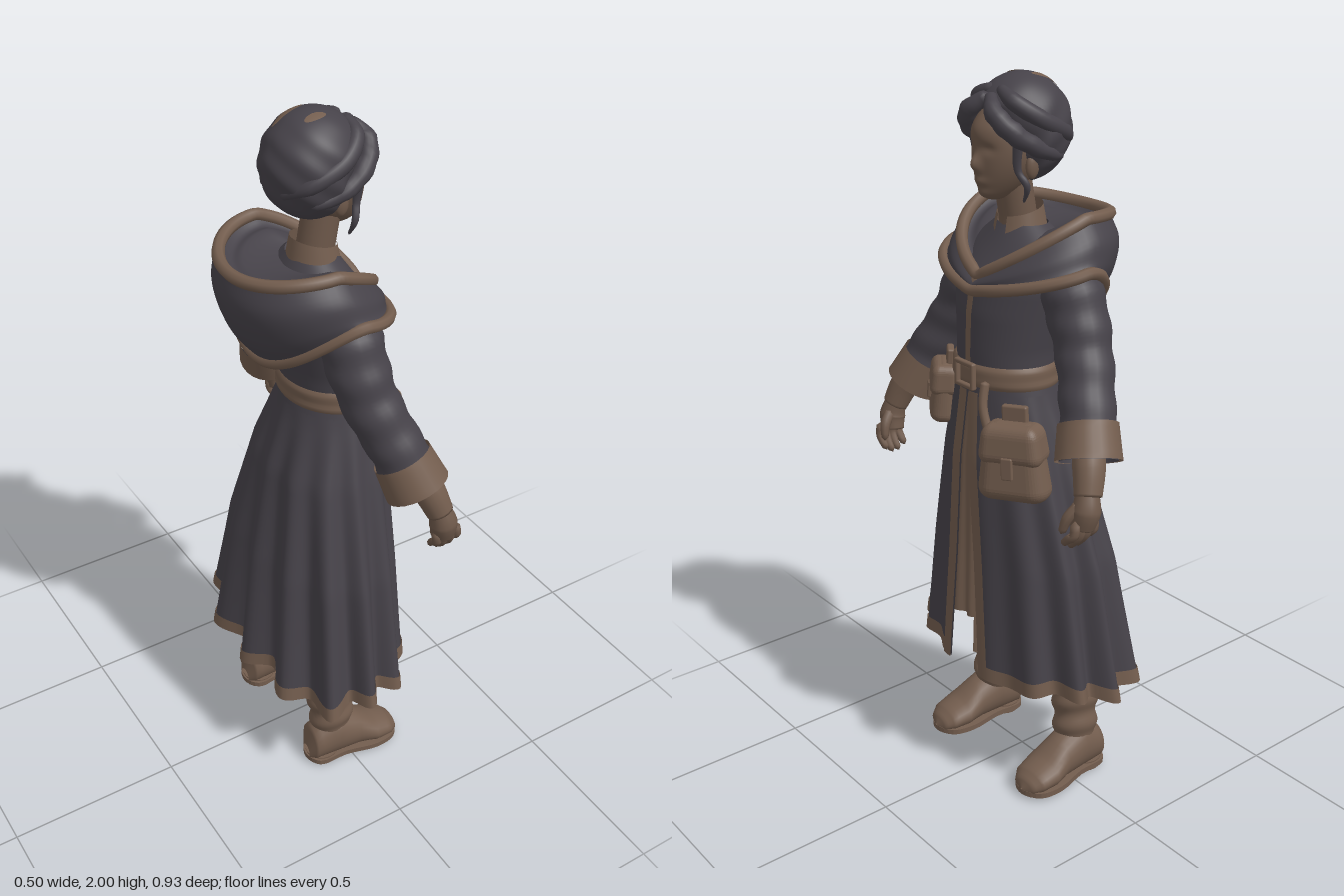
import * as THREE from 'three';
import { mergeVertices } from 'three/addons/utils/BufferGeometryUtils.js';
import { RoundedBoxGeometry } from 'three/addons/geometries/RoundedBoxGeometry.js';

const { sin, cos, PI, abs, exp, max, min, floor, asin, sqrt } = Math;
const V = (x, y, z) => new THREE.Vector3(x, y, z);
const mat = (name, color) => {
  const m = new THREE.MeshStandardMaterial({ color, side: THREE.DoubleSide });
  m.name = name;
  return m;
};

// smooth sheet from a rule (u, v in 0..1) -> point
function surf(fn, nu, nv) {
  const pos = [], idx = [];
  for (let j = 0; j <= nv; j++) for (let i = 0; i <= nu; i++) pos.push(...fn(i / nu, j / nv));
  for (let j = 0; j < nv; j++) for (let i = 0; i < nu; i++) {
    const a = j * (nu + 1) + i, b = a + nu + 1;
    idx.push(a, a + 1, b, a + 1, b + 1, b);
  }
  let g = new THREE.BufferGeometry();
  g.setAttribute('position', new THREE.Float32BufferAttribute(pos, 3));
  g.setIndex(idx);
  g = mergeVertices(g, 1e-5);
  g.computeVertexNormals();
  return g;
}

// linear lookup in a list, t in 0..1
function lerpList(list, t) {
  const f = min(max(t, 0), 1) * (list.length - 1), i = min(floor(f), list.length - 2);
  return list[i] + (list[i + 1] - list[i]) * (f - i);
}

// round limb along a curve with changing radius, over the part t0..t1
function limb(points, radii, { n = 16, rows = 24, t0 = 0, t1 = 1, caps = true, wrinkle = 0, grow = 0 } = {}) {
  const curve = new THREE.CatmullRomCurve3(points.map(p => V(...p)));
  const fr = curve.computeFrenetFrames(100);
  return surf((u, v) => {
    const t = t0 + (t1 - t0) * v, k = Math.round(t * 100), a = u * 2 * PI;
    const end = caps && (v === 0 || v === 1);
    const r = end ? 0 : (lerpList(radii, t) + grow) * (1 + wrinkle * sin(t * 38 + 1.6 * sin(a)));
    return curve.getPoint(t).addScaledVector(fr.normals[k], r * cos(a)).addScaledVector(fr.binormals[k], r * sin(a)).toArray();
  }, n, rows);
}

// move sphere vertices by a rule
function sculpt(rule, w = 48, h = 36) {
  return surf((u, v) => rule(sin(v * PI) * cos(u * 2 * PI), cos(v * PI), sin(v * PI) * sin(u * 2 * PI)), w, h);
}

// robe sections: height, centre x, radius x, radius z
const ROBE = [[1.62, 0, 0.06, 0.08], [1.56, 0, 0.1, 0.165], [1.48, 0.03, 0.13, 0.178], [1.4, 0.035, 0.138, 0.165],
  [1.3, 0.05, 0.127, 0.148], [1.23, 0.055, 0.122, 0.146], [1.17, 0.05, 0.132, 0.163], [1, 0.03, 0.168, 0.215],
  [0.7, 0.01, 0.19, 0.295], [0.3, 0, 0.21, 0.362]];
function robeAt(y) {
  let i = 0;
  while (i < ROBE.length - 2 && y < ROBE[i + 1][0]) i++;
  const A = ROBE[i], B = ROBE[i + 1], t = (A[0] - y) / (A[0] - B[0]);
  return A.map((a, k) => a + (B[k] - a) * t);
}
// folds deepen towards the hem and the back, where the section is squarer
function robePoint(a, y, off = 0) {
  const [, cx, rx, rz] = robeAt(y), k = max(0, (1.19 - y) / 0.85), c = cos(a), s = sin(a);
  const d = off + k * 0.031 * cos(13 * (a - PI)) * (0.2 + 0.8 * min(1, (1 - c) * 1.2));
  const q = c < 0 ? 1 + 0.1 * k * sin(2 * a) ** 2 : 1;
  return [cx + rx * c * q + d * c, y, rz * s * q + d * s];
}
const hemY = a => 0.335 + 0.02 * cos(a) + 0.008 * sin(5 * a);
const slit = y => asin(min(0.9, (0.004 + 0.062 * max(0, (1.18 - y) / 0.84)) / robeAt(y)[3]));
const trimW = y => 0.034 / robeAt(y)[3];

// hood: rings given by cosine and sine of the angle (front = +1); vee drops to a point at the front
const vee = (low, high, c, s) => (c > 0 ? low + (high - low) * (0.6 * abs(s) + 0.4 * (1 - c)) : high);
const back = (drop, c) => (c < 0 ? drop * c * c : 0);
const HOOD = {
  neck: (c, s) => [0.005 + 0.08 * c, vee(1.53, 1.6, c, s), 0.08 * s],
  fold: (c, s) => [-0.035 + 0.14 * c, vee(1.51, 1.63, c, s) - back(0.02, c), 0.145 * s],
  crease: (c, s) => [-0.04 + 0.162 * c, vee(1.5, 1.625, c, s) - back(0.02, c), 0.172 * s],
  rim: (c, s) => [-0.045 + 0.19 * c, vee(1.495, 1.65, c, s) - back(0.025, c), 0.2 * s],
  bulge: (c, s) => [-0.04 + 0.21 * c, vee(1.475, 1.595, c, s) - back(0.045, c), 0.24 * s],
  low: (c, s) => [-0.025 + 0.194 * c, vee(1.465, 1.55, c, s) - back(0.11, c), 0.252 * s],
  edge: (c, s) => [0.168 * c, vee(1.46, 1.53, c, s) - back(0.16, c), 0.262 * s],
};
function hoodSheet(names, a0, a1) {
  return surf((u, v) => {
    const a = a0 + (a1 - a0) * u;
    return new THREE.CatmullRomCurve3(names.map(n => V(...HOOD[n](cos(a), sin(a))))).getPoint(v).toArray();
  }, 64, 5 * (names.length - 1));
}
function hoodTrim(name, r) {
  const pts = Array.from({ length: 40 }, (_, i) => V(...HOOD[name](cos(i * PI / 20), sin(i * PI / 20))));
  return new THREE.TubeGeometry(new THREE.CatmullRomCurve3(pts, true), 120, r, 8, true);
}

// hair cap, tucked in behind the hairline
function hairPoint(px, py, pz, off = 0) {
  const wave = 1 + off + 0.018 * sin(11 * py + 7 * px + 3 * abs(pz));
  const tuck = px > 0 && py < 0.5 ? 1 - 0.42 * min(1, (0.5 - py) * 1.6) : 1;
  return [0.002 + 0.132 * px * wave * tuck, 1.86 + 0.138 * py * (1 + off), 0.126 * pz * wave];
}

export function createModel() {
  const root = new THREE.Group();
  const coat = mat('darkCloth', 0x464249), brown = mat('brown', 0x735d4e), skin = mat('skin', 0x6d584a);
  const add = (name, geo, m, parent = root) => {
    const o = new THREE.Mesh(geo, m);
    o.name = name;
    parent.add(o);
    return o;
  };
  const group = (name, parent = root) => {
    const g = new THREE.Group();
    g.name = name;
    parent.add(g);
    return g;
  };

  // robe top and split skirt with its borders
  add('bodice', surf((u, v) => robePoint(u * 2 * PI, 1.62 - 0.44 * v), 48, 26), coat);
  const skirtPart = (off, yTop) => surf((u, v) => {
    const g = u * 2 * PI, y = yTop(g) + (hemY(g) - yTop(g)) * v, a = slit(y);
    return robePoint(a + (2 * PI - 2 * a) * u, y, off);
  }, 160, 36);
  add('skirt', skirtPart(0, () => 1.19), coat);
  add('hemTrim', skirtPart(0.004, a => hemY(a) + 0.042), brown);
  for (const s of [1, -1]) add('frontTrim', surf((u, v) => {
    const y = 1.19 - (1.19 - hemY(0)) * v;
    return robePoint(s * (slit(y) + trimW(y) * (s > 0 ? u : 1 - u)), y, 0.005);
  }, 4, 40), brown);
  add('underskirt', surf((u, v) => {
    const a = (u - 0.5) * 1.1, y = 1.18 - 0.68 * v;
    return robePoint(a, y, -0.022 + 0.008 * sin(a * 36) * v);
  }, 60, 16), brown);
  add('innerUnderskirt', surf((u, v) => robePoint((u - 0.5) * 0.25, 0.52 - 0.16 * v, -0.06 + 0.006 * sin(u * 14)), 24, 4), brown);
  add('chestPlacket', surf((u, v) => robePoint((u - 0.5) * 0.13, 1.5 - 0.24 * v, 0.006), 4, 12), brown);

  // hood lying on the shoulders
  const hood = group('hood');
  const inside = ['neck', 'fold', 'crease', 'rim'];
  add('hoodInside', hoodSheet(inside, 2 * PI - 0.3, 0.3), coat, hood);
  add('chestOpening', hoodSheet(inside, 0.3, -0.3), brown, hood);
  add('hoodOutside', hoodSheet(['rim', 'bulge', 'low', 'edge'], 0, 2 * PI), coat, hood);
  add('hoodRim', hoodTrim('rim', 0.017), brown, hood);
  add('capeEdge', hoodTrim('edge', 0.016), brown, hood);

  // neck, collar and head
  add('neck', limb([[0, 1.54, 0], [0.015, 1.64, 0], [0.035, 1.75, 0]], [0.058, 0.05, 0.05]), skin);
  add('collar', surf((u, v) => {
    const a = 0.3 + u * (2 * PI - 0.6), c = cos(a), y = 1.655 - 0.015 * c - (0.09 - 0.01 * c) * v;
    return [0.007 + (0.06 + 0.018 * v) * c, y, (0.062 + 0.018 * v) * sin(a)];
  }, 40, 5), brown);
  const head = group('head');
  add('face', sculpt((px, py, pz) => {
    const low = max(0, -py), y = 1.815 + 0.13 * py, z = 0.082 * pz * (1 - 0.3 * low * low);
    let x = 0.045 + 0.1 * px + 0.035 * low * low;
    if (px > 0) {
      x += 0.022 * exp(-((z / 0.013) ** 2) - ((y - 1.783) / 0.022) ** 2);
      x += 0.009 * exp(-((z / 0.022) ** 2) - ((y - 1.738) / 0.012) ** 2);
      x += 0.012 * exp(-((z / 0.026) ** 2) - ((y - 1.703) / 0.018) ** 2);
      x += 0.012 * exp(-((z / 0.06) ** 2) - ((y - 1.87) / 0.035) ** 2);
      x -= 0.007 * exp(-(((abs(z) - 0.032) / 0.018) ** 2) - ((y - 1.822) / 0.013) ** 2);
    }
    return [x, y, z];
  }, 72, 64), skin, head);
  add('hair', sculpt((px, py, pz) => hairPoint(px, py, pz), 64, 48), coat, head);
  // thin lighter streaks on the crown: centre x, z and half sizes on the unit cap
  for (const [cx, cz, hx, hz] of [[-0.35, -0.28, 0.32, 0.1], [-0.1, 0.3, 0.22, 0.09]]) add('hairStreak', surf((u, v) => {
    const r = v, px = cx + hx * r * cos(u * 2 * PI), pz = cz + hz * r * sin(u * 2 * PI);
    return hairPoint(px, sqrt(1 - px * px - pz * pz), pz, 0.012);
  }, 20, 5), brown, head);
  for (const s of [1, -1]) {
    add('sweptFringe', limb([[0.1, 1.95, 0.002 * s], [0.128, 1.912, 0.048 * s], [0.1, 1.865, 0.088 * s],
      [0.03, 1.82, 0.108 * s], [-0.06, 1.79, 0.088 * s]], [0.014, 0.025, 0.027, 0.022, 0.014], { wrinkle: 0.06 }), coat, head);
    add('crownStrand', limb([[0.08, 1.965, 0.01 * s], [0.085, 1.94, 0.065 * s], [0.03, 1.895, 0.106 * s], [-0.06, 1.85, 0.096 * s],
      [-0.11, 1.81, 0.03 * s]], [0.012, 0.022, 0.024, 0.022, 0.012]), coat, head);
    add('looseLock', limb([[0.085, 1.85, 0.09 * s], [0.08, 1.77, 0.082 * s], [0.065, 1.73, 0.1 * s], [0.06, 1.685, 0.08 * s]],
      [0.014, 0.01, 0.009, 0.003], { n: 8 }), coat, head);
    add('ear', new THREE.SphereGeometry(1, 12, 10).scale(0.02, 0.032, 0.012).translate(0.035, 1.775, 0.084 * s), skin, head);
  }

  // arm with wide sleeve, cuff and hand; mirrored for the other side
  const sleeve = [[0.005, 1.55, 0.13], [-0.005, 1.45, 0.2], [0.01, 1.32, 0.262], [0.055, 1.19, 0.33], [0.09, 1.085, 0.376]];
  const sleeveR = [0.07, 0.083, 0.075, 0.072, 0.083];
  // leg with slouched boot: foot sections as position, height, half width
  const FOOT = [[-0.132, 0.06, 0.02], [-0.115, 0.13, 0.05], [-0.04, 0.17, 0.06], [0.03, 0.135, 0.058], [0.085, 0.095, 0.068],
    [0.135, 0.075, 0.06], [0.16, 0.055, 0.04], [0.172, 0.03, 0.005]];
  for (const s of [1, -1]) {
    const arm = group(s > 0 ? 'rightArm' : 'leftArm');
    arm.scale.z = s;
    add('sleeve', limb(sleeve, sleeveR, { rows: 40, n: 24, t1: 0.84, caps: false, wrinkle: 0.035 }), coat, arm);
    add('cuff', limb(sleeve, sleeveR, { rows: 6, n: 24, t0: 0.8, caps: false, grow: 0.005 }), brown, arm);
    add('sleeveLining', limb(sleeve, sleeveR, { rows: 6, n: 24, t0: 0.7, caps: false, grow: -0.006 }), coat, arm);
    add('forearm', limb([[0.07, 1.17, 0.345], [0.11, 1.08, 0.4], [0.135, 1.01, 0.425]], [0.045, 0.043, 0.036]), brown, arm);
    add('palm', limb([[0.132, 1.025, 0.42], [0.142, 0.98, 0.428], [0.148, 0.935, 0.42]], [0.03, 0.038, 0.032]), skin, arm);
    for (let i = 0; i < 4; i++) {
      const x = 0.118 + i * 0.021, d = 0.012 * abs(i - 1.5);
      add('finger', limb([[x, 0.965, 0.43], [x + 0.004, 0.925, 0.432], [x + 0.008, 0.895 + d, 0.416], [x + 0.008, 0.872 + d, 0.393]],
        [0.013, 0.013, 0.012, 0.009], { n: 8, rows: 10 }), skin, arm);
    }
    add('thumb', limb([[0.15, 1.0, 0.42], [0.183, 0.965, 0.405], [0.195, 0.92, 0.393]], [0.018, 0.015, 0.009], { n: 8, rows: 10 }), skin, arm);

    const leg = group(s > 0 ? 'rightLeg' : 'leftLeg');
    leg.scale.z = s;
    add('trouser', limb([[-0.01, 0.85, 0.09], [-0.03, 0.55, 0.14], [-0.05, 0.28, 0.178]], [0.09, 0.08, 0.062]), coat, leg);
    add('bootShaft', surf((u, v) => {
      const a = u * 2 * PI, y = 0.325 - 0.24 * v + 0.012 * sin(a) * (1 - v);
      const r = 0.066 - 0.008 * v + 0.0045 * sin(v * 20 + 1.2 * sin(a + 0.6));
      return [-0.052 + 0.01 * v + r * 1.08 * cos(a), y, 0.18 + 0.012 * v + r * 0.96 * sin(a)];
    }, 28, 30), brown, leg);
    const foot = group('foot', leg);
    foot.position.z = 0.197;
    foot.rotation.y = -0.06;
    add('bootFoot', surf((u, v) => {
      const [x, h, w] = [0, 1, 2].map(k => lerpList(FOOT.map(f => f[k]), v));
      return [x, max(0.016, 0.01 + (h - 0.01) * (0.5 + 0.5 * cos(u * 2 * PI))), w * sin(u * 2 * PI)];
    }, 24, 28), brown, foot);
    const outline = new THREE.Shape();
    outline.setFromPoints(new THREE.CatmullRomCurve3([[-0.135, 0], [-0.11, 0.05], [-0.02, 0.052], [0.08, 0.07], [0.145, 0.055], [0.172, 0],
      [0.145, -0.055], [0.08, -0.07], [-0.02, -0.052], [-0.11, -0.05]].map(p => V(p[0], p[1], 0)), true)
      .getPoints(40).map(p => new THREE.Vector2(p.x, p.y)));
    add('sole', new THREE.ExtrudeGeometry(outline, { depth: 0.016, bevelEnabled: false }).rotateX(PI / 2).translate(0, 0.026, 0), brown, foot);
    add('heel', new THREE.CylinderGeometry(0.05, 0.048, 0.03, 20).translate(-0.08, 0.015, 0), brown, foot);
    add('forefootTread', new THREE.CylinderGeometry(1, 0.95, 0.022, 24).scale(0.065, 1, 0.06).translate(0.085, 0.011, 0), brown, foot);
  }

  // belt with buckle
  add('belt', surf((u, v) => robePoint(u * 2 * PI, 1.268 - 0.062 * v, 0.004 + 0.008 * min(1, 6 * min(v, 1 - v))), 64, 8), brown);
  const buckle = group('buckle');
  buckle.position.set(0.193, 1.237, 0);
  for (const s of [1, -1]) {
    add('buckleBar', new RoundedBoxGeometry(0.016, 0.013, 0.08, 2, 0.005).translate(0, 0.031 * s, 0), brown, buckle);
    add('buckleSide', new RoundedBoxGeometry(0.016, 0.074, 0.013, 2, 0.005).translate(0, 0, 0.034 * s), brown, buckle);
  }

  // belt pouches: rounded body wider at the base, flap, tab and belt loop
  const pouch = (name, pos, turn, tilt, d, h, w) => {
    const g = group(name);
    g.position.set(...pos);
    g.rotation.set(tilt, turn, 0);
    const shaped = (geo, dy) => {
      const p = geo.translate(0, dy, 0).attributes.position;
      for (let i = 0; i < p.count; i++) {
        const f = p.getY(i) / h;
        p.setXYZ(i, p.getX(i) * (1 - 0.35 * f), p.getY(i), p.getZ(i) * (1 - 0.35 * f));
      }
      geo.computeVertexNormals();
      return geo;
    };
    add('pouchBody', shaped(new RoundedBoxGeometry(d, h, w, 5, d * 0.46), 0), brown, g);
    add('pouchFlap', shaped(new RoundedBoxGeometry(d + 0.018, h * 0.5, w * 1.04, 4, d * 0.35), h * 0.24), brown, g);
    add('pouchTab', new RoundedBoxGeometry(0.012, h * 0.28, w * 0.18, 2, 0.004).translate(d / 2 + 0.006, -h * 0.02, 0), brown, g);
    add('beltLoop', new RoundedBoxGeometry(0.02, 0.06, w * 0.4, 2, 0.006).translate(-d * 0.2, h / 2 + 0.01, 0), brown, g);
  };
  pouch('smallPouch', [0.146, 1.14, 0.163], -0.6, -0.12, 0.065, 0.17, 0.118);
  pouch('largePouch', [0.17, 1.04, -0.176], 0.5, 0.05, 0.09, 0.215, 0.178);
  add('longStrap', limb([[0.184, 1.235, -0.075], [0.2, 1.17, -0.085], [0.2, 1.1, -0.11]], [0.012, 0.012, 0.012], { n: 8 }), brown);
  return root;
}
